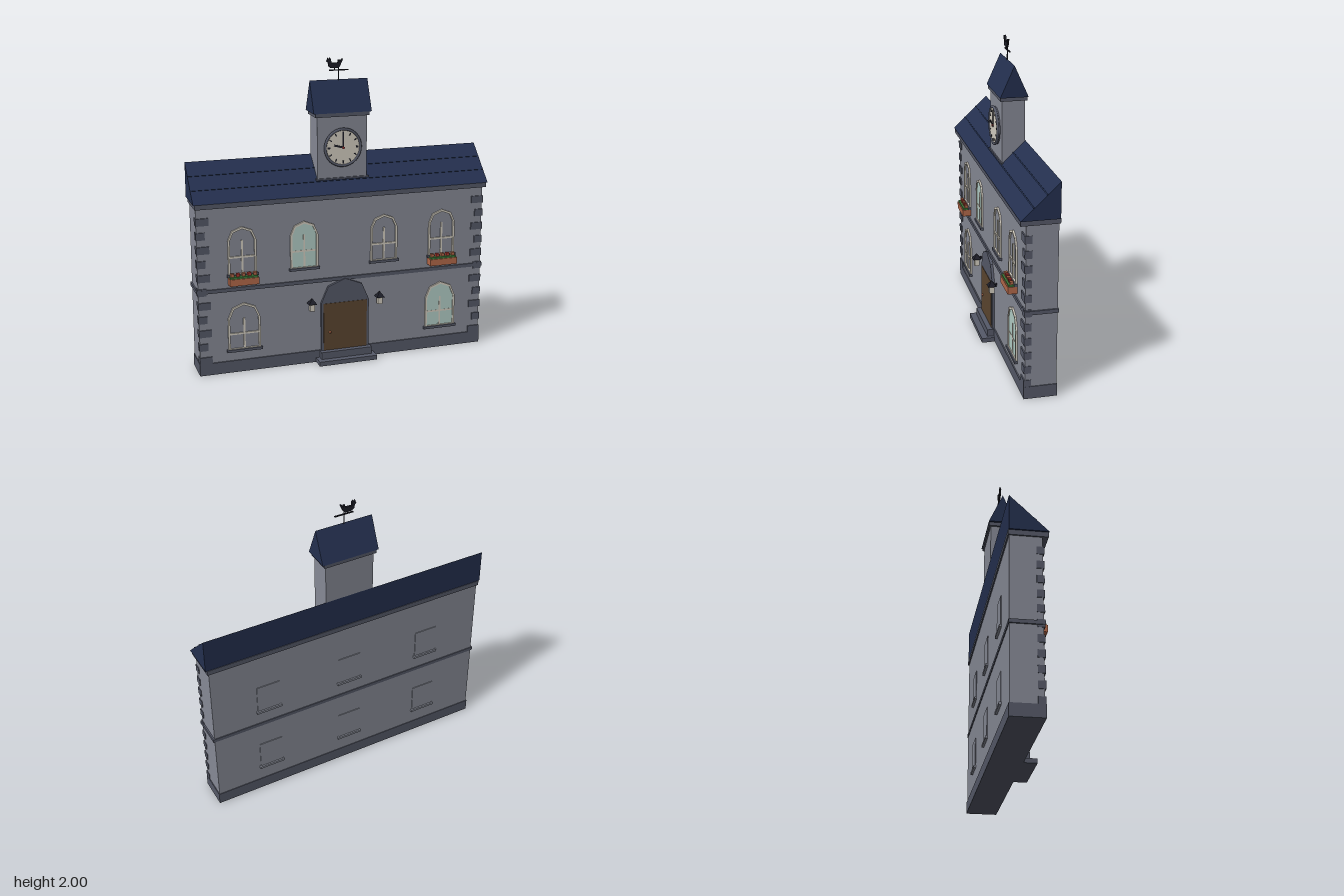
import * as THREE from 'three';

const mat = (name, color, extra) => Object.assign(new THREE.MeshStandardMaterial({ color, ...extra }), { name });

export function createModel() {
  const stone = mat('wall stone', 0x888b97);
  const trim = mat('dark trim', 0x565a69);
  const slate = mat('navy slate', 0x24304f);
  const cream = mat('cream paint', 0xd6d0c3);
  const glass = mat('lit glass', 0xb4d0c8);
  const wood = mat('door wood', 0x5c4630);
  const clay = mat('terracotta', 0xb56a4b);
  const leaf = mat('leaf green', 0x3f7d3c);
  const red = mat('red', 0xb23a32);
  const iron = mat('black iron', 0x1d1e28);

  const model = new THREE.Group();
  model.name = 'townHall';
  const group = (name, parent = model) => {
    const g = new THREE.Group();
    g.name = name;
    parent.add(g);
    return g;
  };
  const add = (parent, name, geo, material, x = 0, y = 0, z = 0) => {
    const m = new THREE.Mesh(geo, material);
    m.name = name;
    m.position.set(x, y, z);
    parent.add(m);
    return m;
  };
  // Box given by its min and max on each axis
  const box = (parent, name, material, x0, x1, y0, y1, z0, z1) =>
    add(parent, name, new THREE.BoxGeometry(x1 - x0, y1 - y0, z1 - z0), material,
      (x0 + x1) / 2, (y0 + y1) / 2, (z0 + z1) / 2);
  const extrude = (shape, depth) => new THREE.ExtrudeGeometry(shape, { depth, bevelEnabled: false });
  // Prism along x from a (z, y) outline
  const prism = (parent, name, material, outline, length) => {
    const geo = extrude(new THREE.Shape(outline.map(([z, y]) => new THREE.Vector2(-z, y))), length);
    geo.translate(0, 0, -length / 2).rotateY(Math.PI / 2);
    return add(parent, name, geo, material);
  };
  // Outline with straight sides and a four-sided arch
  const archPoints = (hw, y0, spring, top) => {
    const pts = [new THREE.Vector2(-hw, y0), new THREE.Vector2(hw, y0)];
    for (let i = 0; i <= 4; i++) {
      const a = i * Math.PI / 4;
      pts.push(new THREE.Vector2(Math.cos(a) * hw, spring + Math.sin(a) * (top - spring)));
    }
    return pts;
  };

  // Main block
  const building = group('building');
  box(building, 'walls', stone, -0.975, 0.975, 0.07, 1.12, -0.138, 0.058);
  box(building, 'plinth', trim, -0.98, 0.98, 0, 0.08, -0.142, 0.066);
  box(building, 'floorBand', trim, -0.985, 0.985, 0.553, 0.577, -0.143, 0.067);
  box(building, 'cornice', trim, -0.985, 0.985, 1.113, 1.146, -0.146, 0.093);
  prism(building, 'mainRoof', slate, [[0.096, 1.145], [-0.142, 1.145], [-0.142, 1.37]], 1.99);

  // Raised courses along the roof slope
  for (const t of [1 / 3, 2 / 3]) {
    const course = box(building, 'roofCourse', slate, -0.993, 0.993, 0, 0.008, 0, 0.008);
    course.position.set(0, 1.145 + 0.225 * t, 0.096 - 0.238 * t);
    course.rotation.x = Math.PI / 4;
  }

  // Corner quoins, long and short in turn
  for (const s of [-1, 1]) {
    for (let i = 0; i <= 10; i++) {
      const w = i % 2 ? 0.057 : 0.083, y = 0.1 + i * 0.0925;
      const x = s * (0.979 - w / 2);
      box(building, 'quoin', trim, x - w / 2, x + w / 2, y - 0.024, y + 0.024, 0.02, 0.066);
    }
  }

  // Front windows
  const frontWindow = (x, hw, y0, spring, top, rail, sillHw, lit) => {
    const g = group('frontWindow');
    g.position.x = x;
    const frame = new THREE.Shape(archPoints(hw, y0, spring, top));
    frame.holes.push(new THREE.Path(archPoints(hw - 0.013, y0 + 0.006, spring, top - 0.015).reverse()));
    add(g, 'windowFrame', extrude(frame, 0.014), cream, 0, 0, 0.055);
    if (lit) {
      const pane = new THREE.Shape(archPoints(hw - 0.008, y0, spring, top - 0.01));
      add(g, 'litPane', extrude(pane, 0.005), glass, 0, 0, 0.057);
    }
    const bar = lit ? 0.0635 : 0.066;
    box(g, 'mullion', cream, -0.006, 0.006, y0, spring, 0.055, bar);
    box(g, 'glazingBar', cream, -hw + 0.01, hw - 0.01, rail - 0.006, rail + 0.006, 0.055, bar);
    box(g, 'sill', trim, -sillHw, sillHw, y0 - 0.015, y0 + 0.002, 0.05, 0.078);
  };
  for (const [x, lit] of [[-0.685, 0], [-0.275, 1], [0.272, 0], [0.682, 0]])
    frontWindow(x, 0.093, 0.665, 0.888, 0.977, 0.778, 0.102, lit);
  for (const [x, lit] of [[-0.682, 0], [0.682, 1]])
    frontWindow(x, 0.107, 0.157, 0.365, 0.47, 0.263, 0.117, lit);

  // Plain back windows
  for (const x of [-0.587, 0, 0.587]) {
    for (const y of [0.19, 0.675]) {
      const g = group('backWindow');
      box(g, 'backPane', stone, x - 0.08, x + 0.08, y, y + 0.2, -0.143, -0.13);
      box(g, 'backSill', stone, x - 0.088, x + 0.088, y - 0.008, y + 0.008, -0.153, -0.13);
    }
  }

  // Flower boxes
  for (const x of [-0.685, 0.682]) {
    const g = group('flowerBox');
    g.position.x = x;
    box(g, 'planter', clay, -0.096, 0.096, 0.603, 0.648, 0.058, 0.117);
    box(g, 'leaves', leaf, -0.09, 0.09, 0.646, 0.66, 0.064, 0.111);
    for (let i = -2; i <= 2; i++) {
      const fx = i * 0.037;
      box(g, 'flower', i % 2 ? red : clay, fx - 0.011, fx + 0.011, 0.655, 0.679, 0.078, 0.1);
    }
  }

  // Entrance
  const entrance = group('entrance');
  box(entrance, 'lowerStep', trim, -0.2, 0.2, 0, 0.03, 0.05, 0.152);
  box(entrance, 'upperStep', trim, -0.175, 0.175, 0.028, 0.078, 0.05, 0.11);
  add(entrance, 'doorSurround', extrude(new THREE.Shape(archPoints(0.165, 0.075, 0.408, 0.566)), 0.025), trim, 0, 0, 0.05);
  box(entrance, 'door', wood, -0.15, 0.15, 0.079, 0.405, 0.07, 0.078);
  add(entrance, 'doorKnob', new THREE.SphereGeometry(0.008, 10, 8), clay, -0.107, 0.205, 0.082);

  // Wall lanterns
  for (const s of [-1, 1]) {
    const g = group('lantern');
    g.position.set(s * 0.234, 0, 0.094);
    box(g, 'lampGlass', cream, -0.016, 0.016, 0.374, 0.425, -0.016, 0.016);
    const cap = new THREE.ConeGeometry(0.039, 0.038, 4);
    cap.rotateY(Math.PI / 4);
    add(g, 'lampCap', cap.toNonIndexed(), iron, 0, 0.441, 0).geometry.computeVertexNormals();
    box(g, 'lampBracket', iron, -0.006, 0.006, 0.422, 0.434, -0.04, 0);
  }

  // Clock tower
  const tower = group('clockTower');
  box(tower, 'towerWalls', stone, -0.167, 0.167, 1.17, 1.64, -0.138, 0.01);
  box(tower, 'towerSkirt', trim, -0.178, 0.178, 1.221, 1.235, -0.1, 0.018);
  box(tower, 'towerCornice', trim, -0.18, 0.18, 1.633, 1.66, -0.15, 0.022);
  prism(tower, 'towerRoof', slate, [[0.028, 1.658], [-0.154, 1.658], [-0.063, 1.86]], 0.388);

  // Clock face, marks and hands
  const clock = group('clock', tower);
  clock.position.set(0, 1.434, 0);
  const disc = (name, r, z0, z1, material) => {
    const geo = new THREE.CylinderGeometry(r, r, z1 - z0, 32);
    geo.rotateX(Math.PI / 2);
    add(clock, name, geo, material, 0, 0, (z0 + z1) / 2);
  };
  disc('clockBody', 0.122, 0.005, 0.024, trim);
  disc('clockDial', 0.115, 0.022, 0.028, cream);
  add(clock, 'clockRim', new THREE.TorusGeometry(0.119, 0.009, 8, 32), trim, 0, 0, 0.026);
  const pointer = (name, angle, r0, r1, w, z, material) => {
    const geo = new THREE.BoxGeometry(w, r1 - r0, 0.004);
    geo.translate(0, (r0 + r1) / 2, 0);
    add(clock, name, geo, material, 0, 0, z).rotation.z = angle;
  };
  for (let i = 0; i < 12; i++)
    pointer('hourMark', i * Math.PI / 6, 0.087, 0.104, i % 3 ? 0.007 : 0.011, 0.029, iron);
  pointer('minuteHand', 0, -0.01, 0.1, 0.009, 0.031, iron);
  pointer('hourHand', 1.3, -0.01, 0.062, 0.012, 0.033, iron);
  disc('clockHub', 0.007, 0.028, 0.039, red);

  // Weathervane with a cockerel
  const vane = group('weathervane');
  vane.position.z = -0.063;
  add(vane, 'vanePole', new THREE.CylinderGeometry(0.004, 0.004, 0.1, 8), iron, 0, 1.9, 0);
  box(vane, 'vaneBar', iron, -0.064, 0.064, 1.916, 1.923, -0.004, 0.004);
  const bird = new THREE.Shape([
    [-0.052, 1.933], [-0.005, 1.933], [0.008, 1.945], [0.028, 1.99], [0.018, 1.992], [0.008, 1.972],
    [0.006, 1.985], [-0.004, 1.985], [-0.006, 1.968], [-0.05, 1.966], [-0.052, 1.99], [-0.06, 2.0],
    [-0.066, 1.99], [-0.074, 2.0], [-0.078, 1.985], [-0.084, 1.976], [-0.072, 1.972], [-0.068, 1.945],
  ].map(([x, y]) => new THREE.Vector2(x, y)));
  add(vane, 'cockerel', extrude(bird, 0.012), iron, 0, 0, -0.006);
  box(vane, 'cockerelLeg', iron, -0.03, -0.024, 1.92, 1.935, -0.003, 0.003);

  return model;
}
